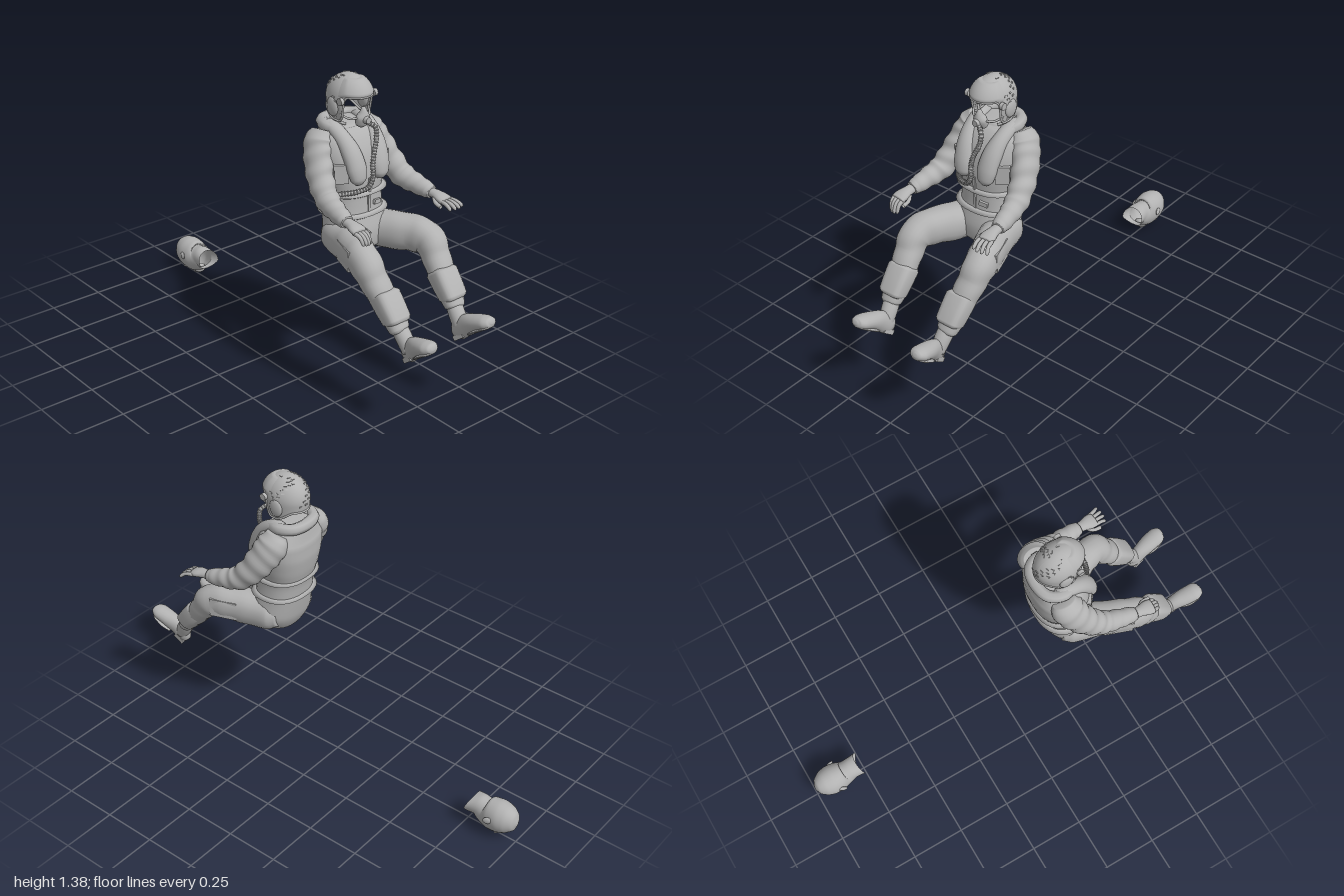
import * as THREE from 'three';

const grey = new THREE.MeshStandardMaterial({ color: 0xb2b2b2, side: THREE.DoubleSide });
grey.name = 'plain grey';
const V3 = (x, y, z) => new THREE.Vector3(x, y, z);

// Closed skin over elliptical sections [x, y, z, halfWidth, halfDepth], smoothed along the path.
function loft(secs, { ref = V3(1, 0, 0), steps = 5, sides = 20, square = 1, ripple = 0, waves = 8, capStart = true, capEnd = true } = {}) {
  const path = new THREE.CatmullRomCurve3(secs.map(s => V3(s[0], s[1], s[2])));
  const size = new THREE.CatmullRomCurve3(secs.map(s => V3(s[3], s[4], 0)));
  const n = (secs.length - 1) * steps, pos = [], idx = [];
  const pw = c => Math.sign(c) * Math.abs(c) ** square;
  for (let i = 0; i <= n; i++) {
    const t = i / n, c = path.getPoint(t), T = path.getTangent(t), r = size.getPoint(t);
    const U = ref.clone().addScaledVector(T, -ref.dot(T)).normalize();
    const V = T.clone().cross(U);
    for (let j = 0; j < sides; j++) {
      const a = j / sides * Math.PI * 2;
      const k = 1 + ripple * Math.sin(t * waves * 6.283 + 1.6 * Math.sin(a + t * 5)) * Math.sin(Math.PI * t);
      const p = c.clone().addScaledVector(U, pw(Math.cos(a)) * r.x * k).addScaledVector(V, pw(Math.sin(a)) * r.y * k);
      pos.push(p.x, p.y, p.z);
      if (i < n) {
        const q = i * sides + j, q2 = i * sides + (j + 1) % sides;
        idx.push(q, q2, q2 + sides, q, q2 + sides, q + sides);
      }
    }
  }
  const cap = (row, flip, s) => {
    const m = pos.length / 3;
    pos.push(s[0], s[1], s[2]);
    for (let j = 0; j < sides; j++) {
      const a = row * sides + j, b = row * sides + (j + 1) % sides;
      idx.push(m, ...(flip ? [b, a] : [a, b]));
    }
  };
  if (capStart) cap(0, true, secs[0]);
  if (capEnd) cap(n, false, secs[secs.length - 1]);
  const g = new THREE.BufferGeometry();
  g.setAttribute('position', new THREE.Float32BufferAttribute(pos, 3));
  g.setIndex(idx);
  g.computeVertexNormals();
  return g;
}

// Grid surface from a rule f(u, v) -> Vector3, u and v in 0..1.
function surface(f, nu, nv) {
  const g = new THREE.PlaneGeometry(1, 1, nu, nv), p = g.attributes.position, uv = g.attributes.uv;
  for (let i = 0; i < p.count; i++) p.setXYZ(i, ...f(uv.getX(i), uv.getY(i)).toArray());
  g.computeVertexNormals();
  return g;
}

export function createModel() {
  const model = new THREE.Group();
  const add = (name, geo, x = 0, y = 0, z = 0, rx = 0, ry = 0, rz = 0) => {
    const m = new THREE.Mesh(geo, grey);
    m.name = name;
    m.position.set(x, y, z);
    m.rotation.set(rx, ry, rz);
    model.add(m);
    return m;
  };
  const tube = (name, pts, r, seg = 24) =>
    add(name, new THREE.TubeGeometry(new THREE.CatmullRomCurve3(pts.map(p => V3(...p))), seg, r, 8));
  const box = (w, h, d) => new THREE.BoxGeometry(w, h, d);
  const ball = (rx, ry, rz) => new THREE.SphereGeometry(1, 20, 14).scale(rx, ry, rz);

  // Trunk and jacket bands
  add('torso', loft([
    [0, .605, .35, .05, .06], [0, .63, .345, .115, .095], [0, .70, .33, .145, .112], [0, .78, .312, .134, .11],
    [0, .86, .303, .128, .112], [0, .95, .293, .146, .125], [0, 1.03, .28, .158, .125], [0, 1.10, .262, .155, .108],
    [0, 1.15, .25, .11, .08], [0, 1.17, .25, .07, .06]], { square: .85, sides: 32 }));
  const band = (name, y, z, w, d, h) => add(name, loft([
    [0, y - h, z, w - .006, d - .006], [0, y - h * .8, z, w, d], [0, y + h * .8, z, w, d], [0, y + h, z, w - .006, d - .006]],
    { square: .85, sides: 32, steps: 2 }));
  band('jacketHem', .79, .312, .138, .115, .012);
  band('waistBelt', .885, .301, .138, .119, .012);
  add('frontZip', box(.012, .17, .008), 0, .87, .418);
  add('hipBuckle', box(.04, .02, .02), .045, .835, .412, 0, .2, -.15);

  // Life vest collar: rear roll and two front lobes
  tube('vestCollar', [[-.085, 1.155, .30], [-.1, 1.165, .25], [-.07, 1.165, .195], [0, 1.165, .178],
    [.07, 1.165, .195], [.1, 1.165, .25], [.085, 1.155, .30]], .027);
  for (const s of [-1, 1]) {
    const side = s > 0 ? 'left' : 'right';
    add(side + 'VestLobe', loft([
      [s * .085, 1.168, .22, .02, .015], [s * .085, 1.165, .27, .032, .026], [s * .08, 1.125, .335, .036, .034],
      [s * .07, 1.07, .38, .044, .036], [s * .063, 1.01, .407, .046, .034], [s * .06, .965, .418, .038, .028],
      [s * .058, .942, .42, .018, .012]]));
    add(side + 'ChestPocket', box(.06, .075, .02), s * .118, .985, .375, 0, s * .6, 0);
    add(side + 'PocketFlap', box(.064, .022, .026), s * .118, 1.02, .373, 0, s * .6, 0);

    // Sleeve, cuff, hand
    add(side + 'Sleeve', loft([
      [s * .115, 1.145, .245, .035, .05], [s * .137, 1.10, .252, .058, .072], [s * .165, 1.04, .28, .056, .07],
      [s * .19, .965, .33, .054, .062], [s * .208, .905, .395, .05, .054], [s * .222, .885, .46, .043, .045],
      [s * .232, .872, .525, .036, .036], [s * .235, .868, .55, .029, .027]],
      { ripple: .06, waves: 9, steps: 8, sides: 24 }));
    add(side + 'Palm', loft([
      [s * .235, .868, .535, .022, .02], [s * .236, .867, .575, .026, .019], [s * .238, .862, .61, .035, .018],
      [s * .24, .856, .635, .034, .014]], { sides: 14 }));
    const spread = s > 0 ? 1.35 : .7, curl = s > 0 ? .012 : .03, reach = s > 0 ? .06 : .045;
    for (let i = 0; i < 4; i++) {
      const o = (i - 1.5) * .017, len = reach - Math.abs(i - 1.4) * .007, bx = .24 + o;
      const tip = bx + o * (spread - 1) + (s > 0 ? .012 : -.008);
      add(side + 'Finger' + (i + 1), loft([
        [s * bx, .857, .62, .009, .01], [s * (bx + tip) / 2, .856 - curl * .3, .632 + len * .5, .009, .009],
        [s * tip, .85 - curl, .632 + len * .9, .008, .008], [s * tip, .846 - curl * 1.2, .632 + len, .004, .004]],
        { sides: 8, steps: 3 }));
    }
    tube(side + 'Thumb', [[s * .215, .86, .585], [s * .199, .85, .61], [s * .198, .842, .645]], .009, 8);

    // Trouser leg with pockets
    add(side + 'Leg', loft([
      [s * .07, .685, .27, .06, .05], [s * .08, .685, .32, .082, .078], [s * .115, .688, .43, .077, .082],
      [s * .157, .695, .53, .07, .08], [s * .178, .682, .60, .066, .074], [s * .175, .625, .65, .061, .06],
      [s * .165, .555, .705, .058, .05], [s * .16, .50, .755, .055, .045], [s * .158, .455, .79, .046, .036],
      [s * .157, .445, .797, .036, .028]], { ripple: .022, waves: 9, square: .9, steps: 6, sides: 22 }));
    add(side + 'ThighPocket', box(.014, .09, .13), s * .208, .69, .5, 0, s * .35, 0);
    add(side + 'ShinPocket', loft([
      [s * .163, .59, .69, .045, .035], [s * .163, .575, .70, .062, .053],
      [s * .16, .49, .775, .058, .045], [s * .16, .478, .782, .045, .03]], { square: .6, steps: 2 }));

    // Boot, sole and heel
    add(side + 'BootShaft', loft([
      [s * .157, .475, .775, .036, .03], [s * .152, .425, .81, .036, .036], [s * .147, .37, .845, .03, .034]]));
    add(side + 'Boot', loft([
      [s * .142, .337, .818, .018, .022], [s * .144, .36, .834, .029, .044], [s * .15, .40, .872, .034, .046],
      [s * .158, .428, .918, .041, .037], [s * .164, .447, .965, .042, .031], [s * .167, .458, .99, .028, .02],
      [s * .167, .461, .997, .01, .008]]));
    add(side + 'BootSole', loft([
      [s * .152, .373, .9, .03, .008], [s * .159, .402, .936, .043, .009], [s * .165, .428, .974, .039, .009],
      [s * .167, .442, .993, .02, .007]], { steps: 3 }));
    add(side + 'BootHeel', box(.052, .022, .055), s * .144, .342, .85, -.66, s * .12, 0);

    // Helmet side fittings
    add(side + 'EarCup', ball(.014, .042, .034), s * .083, 1.25, .275);
    add(side + 'VisorKnob', new THREE.CylinderGeometry(.016, .016, .016, 14), s * .092, 1.288, .335, 0, 0, Math.PI / 2);
    tube(side + 'MaskStrap', [[s * .078, 1.225, .315], [s * .055, 1.21, .35], [s * .025, 1.212, .372]], .005, 10);
    tube(side + 'ChinStrap', [[s * .08, 1.215, .29], [s * .065, 1.185, .3], [s * .045, 1.175, .315]], .006, 10);
  }

  // Helmet shell with an open face; the rim drops at the ears
  const dome = (a, t, grow = 0) => {
    const r = t < Math.PI / 2 ? Math.sin(t) : 1 - .12 * (t - Math.PI / 2);
    return V3(Math.sin(a) * r * (.088 + grow), 1.275 + Math.cos(t) * (.105 + grow), .285 + Math.cos(a) * r * (.113 + grow));
  };
  const rim = a => {
    const d = Math.abs(a), S = THREE.MathUtils.smoothstep;
    return 1.3 + 1.15 * S(d, 1.0, 1.25) - .5 * S(d, 1.6, 2.5);
  };
  add('helmetShell', surface((u, v) => {
    const a = (u * 2 - 1) * Math.PI;
    return dome(a, (1 - v) * rim(a));
  }, 64, 24));
  add('helmetRim', new THREE.TubeGeometry(new THREE.CatmullRomCurve3(Array.from({ length: 48 }, (_, i) => {
    const a = (i / 24 - 1) * Math.PI;
    return dome(a, rim(a));
  }), true), 96, .005, 6));
  add('visorCover', surface((u, v) => {
    const a = (u * 2 - 1) * 1.35, edge = Math.min(1, 8 * Math.min(u, 1 - u, v, 1 - v));
    return dome(a, .45 + (1 - v) * .87, .007 * edge);
  }, 32, 16));
  for (let i = 0; i < 36; i++) {
    const a = 1.4 + (i * 2.4) % 3.5, p = dome(a, .3 + 1.4 * ((i * .618) % 1), .001);
    const stud = add('helmetStud', box(.014, .006, .004), p.x, p.y, p.z);
    stud.lookAt(p.x * 2, p.y * 2 - 1.275, p.z * 2 - .285);
  }

  // Breathing mask and hose
  add('mask', loft([
    [0, 1.255, .372, .008, .008], [0, 1.235, .374, .018, .018], [0, 1.21, .37, .034, .026],
    [0, 1.185, .362, .032, .024], [0, 1.17, .355, .016, .014]], { sides: 12, square: 1.1 }));
  add('maskValve', new THREE.CylinderGeometry(.014, .018, .02, 14), 0, 1.205, .397, Math.PI / 2);
  const hosePath = [[.01, 1.19, .39], [.035, 1.17, .408], [.033, 1.12, .418], [.012, 1.07, .43], [0, 1.02, .436],
    [0, .965, .44], [-.02, .925, .437], [-.07, .91, .422], [-.13, .9, .375]];
  tube('hose', hosePath, .0095, 50);
  const curve = new THREE.CatmullRomCurve3(hosePath.map(p => V3(...p)));
  for (let i = 1; i < 34; i++) {
    const p = curve.getPointAt(i / 34), ring = add('hoseRib', new THREE.TorusGeometry(.0095, .0028, 5, 10), p.x, p.y, p.z);
    ring.lookAt(p.clone().add(curve.getTangentAt(i / 34)));
  }

  // Spare head lying face down, neck open towards the front
  const head = loft([
    [0, .105, -1, .008, .01], [0, .105, -.988, .036, .042], [0, .105, -.955, .06, .067], [0, .102, -.915, .069, .078],
    [0, .096, -.872, .065, .08], [0, .098, -.84, .055, .068], [0, .11, -.815, .05, .052],
    [0, .11, -.79, .052, .05], [0, .108, -.772, .056, .047]], { sides: 28, capEnd: false });
  const hp = head.attributes.position;
  for (let i = 0; i < hp.count; i++) {
    const k = THREE.MathUtils.smoothstep(hp.getZ(i), -.84, -.772);
    hp.setZ(i, hp.getZ(i) - k * (Math.abs(hp.getY(i) - .095) * .55 - .02));
  }
  head.computeVertexNormals();
  add('looseHead', head);
  add('nose', ball(.012, .018, .02), 0, .018, -.88);
  add('chin', ball(.03, .022, .022), 0, .038, -.838);
  add('brow', ball(.045, .015, .012), 0, .035, -.915);
  add('lips', ball(.02, .01, .01), 0, .022, -.852);
  for (const s of [-1, 1]) add('ear', ball(.008, .016, .022), s * .068, .108, -.888, .3, s * .3, 0);
  return model;
}
